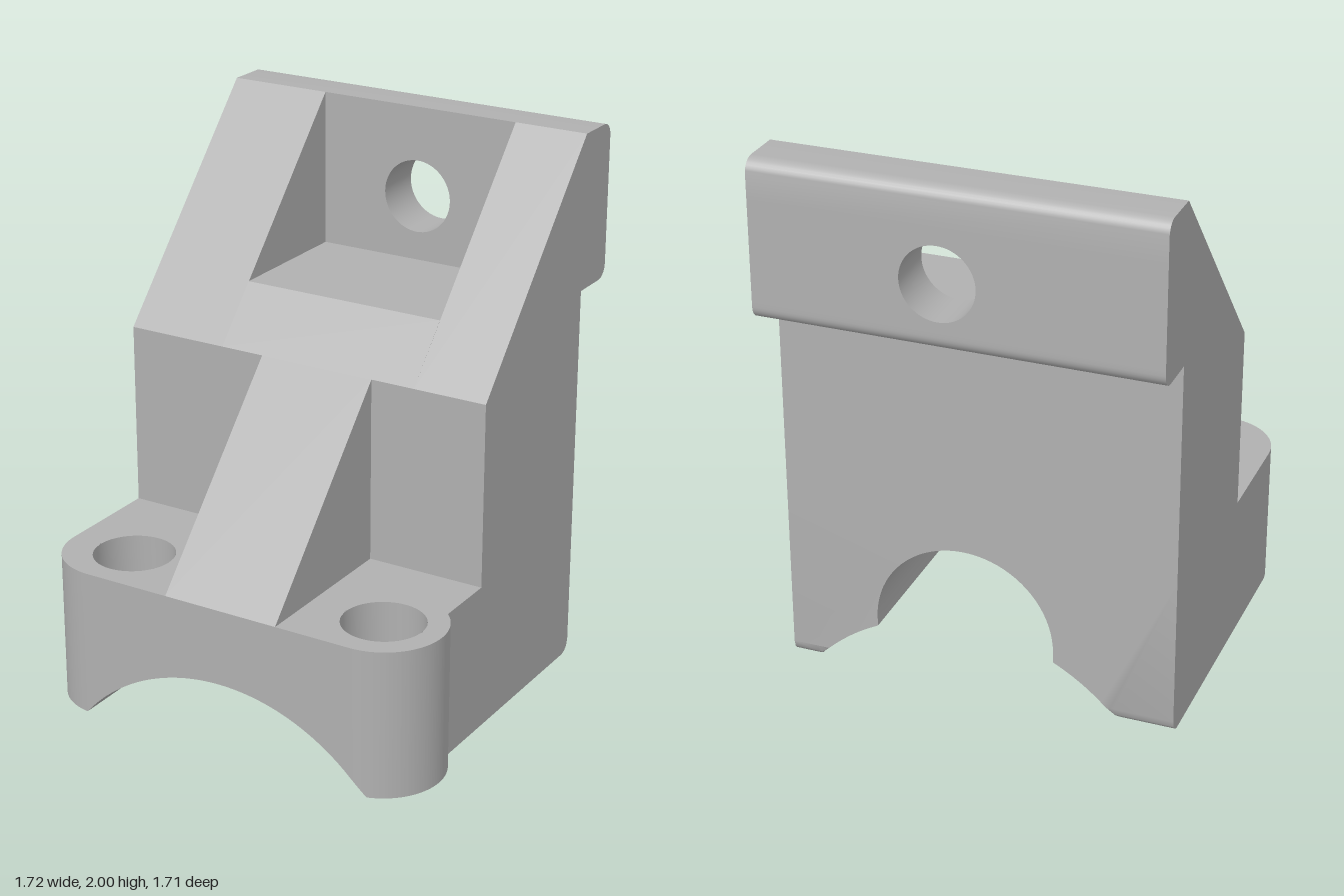
import * as THREE from 'three';
import { toCreasedNormals } from 'three/addons/utils/BufferGeometryUtils.js';

// Main dimensions, in the bracket's own frame (before it is turned about y)
const LEFT = -0.743, RIGHT = 0.706, MID = 0.036;    // body sides and working axis
const BACK = -0.556, STEP = 0.144, FRONT = 0.768;   // body back, upper front, flange front
const PLATE_BACK = -0.745, PLATE_LOW = 1.424, TOP = 2;
const FLANGE = 0.55, WAIST = 0.6, SLOPE_LOW = 1.23;
const BORE_R = 0.334, BORE_Y = 0.23, BORE_END = 0.31;
const ARCH_R = 0.755, ARCH_Y = -0.487;
const EAR_R = 0.225, EAR_Z = FRONT - EAR_R, EAR_X = 0.549, CORNER_X = LEFT + EAR_R;
const HOLES = [-0.477, 0.549], SCREW_R = 0.068, HEAD_R = 0.148, HEAD_Y = 0.28;
const ROUND = 0.05;

const v2 = (x, y) => new THREE.Vector2(x, y);
const v3 = (x, y, z) => new THREE.Vector3(x, y, z);
const half = (r, d) => Math.sqrt(Math.max(0, r * r - d * d));
const underside = (x) => Math.max(0, ARCH_Y + half(ARCH_R, x - MID));

// Extrude an outline in (x, y), with optional holes, from z0 to z1
function alongZ(points, z0, z1, steps = 1, holes = []) {
  const shape = new THREE.Shape(points);
  shape.holes.push(...holes);
  return new THREE.ExtrudeGeometry(shape, { depth: z1 - z0, steps, bevelEnabled: false, curveSegments: 32 })
    .translate(0, 0, z0);
}

// Extrude a side profile of [z, y] points from x0 to x1
function alongX(profile, x0, x1) {
  return alongZ(profile.map(([z, y]) => v2(-z, y)), x0, x1).rotateY(Math.PI / 2);
}

// Ruled surface between two rows of points
function ruled(a, b) {
  const pos = [];
  for (let i = 0; i < a.length - 1; i++) {
    for (const p of [a[i], a[i + 1], b[i], b[i], a[i + 1], b[i + 1]]) pos.push(p.x, p.y, p.z);
  }
  const g = new THREE.BufferGeometry();
  g.setAttribute('position', new THREE.Float32BufferAttribute(pos, 3));
  g.computeVertexNormals();
  return g;
}

// Cross-section of the base: shallow arch below, round bore above it
function baseSection(top, boreTop) {
  const pts = [v2(LEFT, top), v2(LEFT, 0)];
  const foot = half(ARCH_R, ARCH_Y), n = 16;
  for (let i = 0; i <= n; i++) {
    const x = MID - foot + (foot - BORE_R) * i / n;
    pts.push(v2(x, underside(x)));
  }
  for (let i = 0; i <= 40; i++) {
    const t = Math.PI * (1 - i / 40);
    pts.push(v2(MID + BORE_R * Math.cos(t), Math.min(boreTop, BORE_Y + BORE_R * Math.sin(t))));
  }
  for (let i = 0; i <= n; i++) {
    const x = MID + BORE_R + (foot - BORE_R) * i / n;
    pts.push(v2(x, underside(x)));
  }
  pts.push(v2(RIGHT, 0), v2(RIGHT, top));
  return pts;
}

// Back end of the base, with its lower edge rounded off
function roundedBaseEnd() {
  const g = alongZ(baseSection(WAIST, 1), BACK, BACK + ROUND, 8);
  const p = g.attributes.position;
  for (let i = 0; i < p.count; i++) {
    const lift = ROUND - half(ROUND, BACK + ROUND - p.getZ(i));
    p.setY(i, Math.max(p.getY(i), lift));
  }
  g.computeVertexNormals();
  return g;
}

// Plan outline of the flange: front and back z for each x
const flangeFront = (x) => x < CORNER_X ? EAR_Z + half(EAR_R, x - CORNER_X)
  : x > EAR_X ? EAR_Z + half(EAR_R, x - EAR_X) : FRONT;
const flangeBack = (x) => x > RIGHT ? EAR_Z - half(EAR_R, x - EAR_X) : BORE_END;

const stations = [RIGHT - 1e-5, RIGHT + 1e-5];
for (let i = 0; i <= 400; i++) {
  const end = EAR_X + EAR_R;
  stations.push((LEFT + end) / 2 - (end - LEFT) / 2 * Math.cos(Math.PI * i / 400));
}
stations.sort((a, b) => a - b);

// Two bands of a flange face, meeting around the screw holes
function flangeFace(height, holeR, up) {
  const gap = (x) => Math.max(...HOLES.map((c) => half(holeR, x - c)));
  const row = (zOf) => stations.map((x) => v3(x, height(x), zOf(x)));
  const bands = [
    [row(flangeBack), row((x) => EAR_Z - gap(x))],
    [row((x) => EAR_Z + gap(x)), row(flangeFront)],
  ];
  return bands.map(([a, b]) => up ? ruled(b, a) : ruled(a, b));
}

function flangeWall() {
  const loop = [
    ...stations.map((x) => v3(x, 0, flangeFront(x))),
    ...[...stations].reverse().map((x) => v3(x, 0, flangeBack(x))),
  ];
  loop.push(loop[0]);
  return ruled(loop.map((p) => v3(p.x, underside(p.x), p.z)), loop.map((p) => v3(p.x, FLANGE, p.z)));
}

// Counterbored screw hole: head wall, seat, and shank wall ending on the arch
function screwHole(cx) {
  const ring = (r, height) => Array.from({ length: 49 }, (_, i) => {
    const t = i / 48 * Math.PI * 2, x = cx + r * Math.cos(t);
    return v3(x, height(x), EAR_Z - r * Math.sin(t));
  });
  const seat = () => HEAD_Y;
  return [
    ruled(ring(HEAD_R, () => FLANGE), ring(HEAD_R, seat)),
    ruled(ring(HEAD_R, seat), ring(SCREW_R, seat)),
    ruled(ring(SCREW_R, seat), ring(SCREW_R, underside)),
  ];
}

// Plate edge bar whose back corner is rounded; yEdge is the outer edge
function plateBar(yInner, yEdge) {
  const s = Math.sign(yEdge - yInner);
  const profile = [[BACK, yInner], [BACK, yEdge]];
  for (let i = 0; i <= 8; i++) {
    const t = i / 8 * Math.PI / 2;
    profile.push([PLATE_BACK + ROUND - ROUND * Math.sin(t), yEdge - s * ROUND * (1 - Math.cos(t))]);
  }
  profile.push([PLATE_BACK, yInner]);
  return alongX(profile, LEFT, RIGHT);
}

function platePanel(y0, y1) {
  const bolt = new THREE.Path().absarc(MID, 1.665, 0.135, 0, Math.PI * 2, true);
  const outline = [v2(LEFT, y0), v2(RIGHT, y0), v2(RIGHT, y1), v2(LEFT, y1)];
  return alongZ(outline, PLATE_BACK, BACK, 1, [bolt]);
}

export function createModel() {
  const model = new THREE.Group();
  model.name = 'mountingBracket';
  const grey = new THREE.MeshStandardMaterial({ color: 0xb0b0b0, side: THREE.DoubleSide });
  grey.name = 'plainGrey';

  const add = (name, ...geometries) => {
    const group = new THREE.Group();
    group.name = name;
    for (const g of geometries) {
      const mesh = new THREE.Mesh(toCreasedNormals(g, 0.5), grey);
      mesh.name = name;
      group.add(mesh);
    }
    model.add(group);
  };

  // Base with the arch and the bore
  add('base',
    roundedBaseEnd(),
    alongZ(baseSection(WAIST, 1), BACK + ROUND, STEP),
    alongZ(baseSection(FLANGE, FLANGE - 0.004), STEP, BORE_END));

  // Front flange with ears and screw holes
  add('flange', flangeWall(),
    ...flangeFace(() => FLANGE, HEAD_R, true),
    ...flangeFace(underside, SCREW_R, false));
  add('screwHoles', ...HOLES.flatMap(screwHole));

  // Sloped upper body around the open pocket
  const pocketL = -0.355, pocketR = 0.428, pocketZ = -0.031;
  const cheek = [[BACK, WAIST], [STEP, WAIST], [STEP, SLOPE_LOW], [BACK, TOP]];
  const floor = [[BACK, WAIST], [STEP, WAIST], [STEP, SLOPE_LOW], [pocketZ, PLATE_LOW], [BACK, PLATE_LOW]];
  add('upperBody',
    alongX(cheek, LEFT, pocketL),
    alongX(floor, pocketL, pocketR),
    alongX(cheek, pocketR, RIGHT));

  // Rib carrying the slope down to the flange
  add('rib', alongX([[STEP, FLANGE], [FRONT, FLANGE], [STEP, SLOPE_LOW]], -0.187, 0.26));

  // Back plate with the bolt hole
  add('backPlate', plateBar(1.85, TOP), platePanel(1.49, 1.85), plateBar(1.49, PLATE_LOW));

  model.rotation.y = THREE.MathUtils.degToRad(10);
  const root = new THREE.Group();
  root.name = 'bracket';
  root.add(model);
  return root;
}
